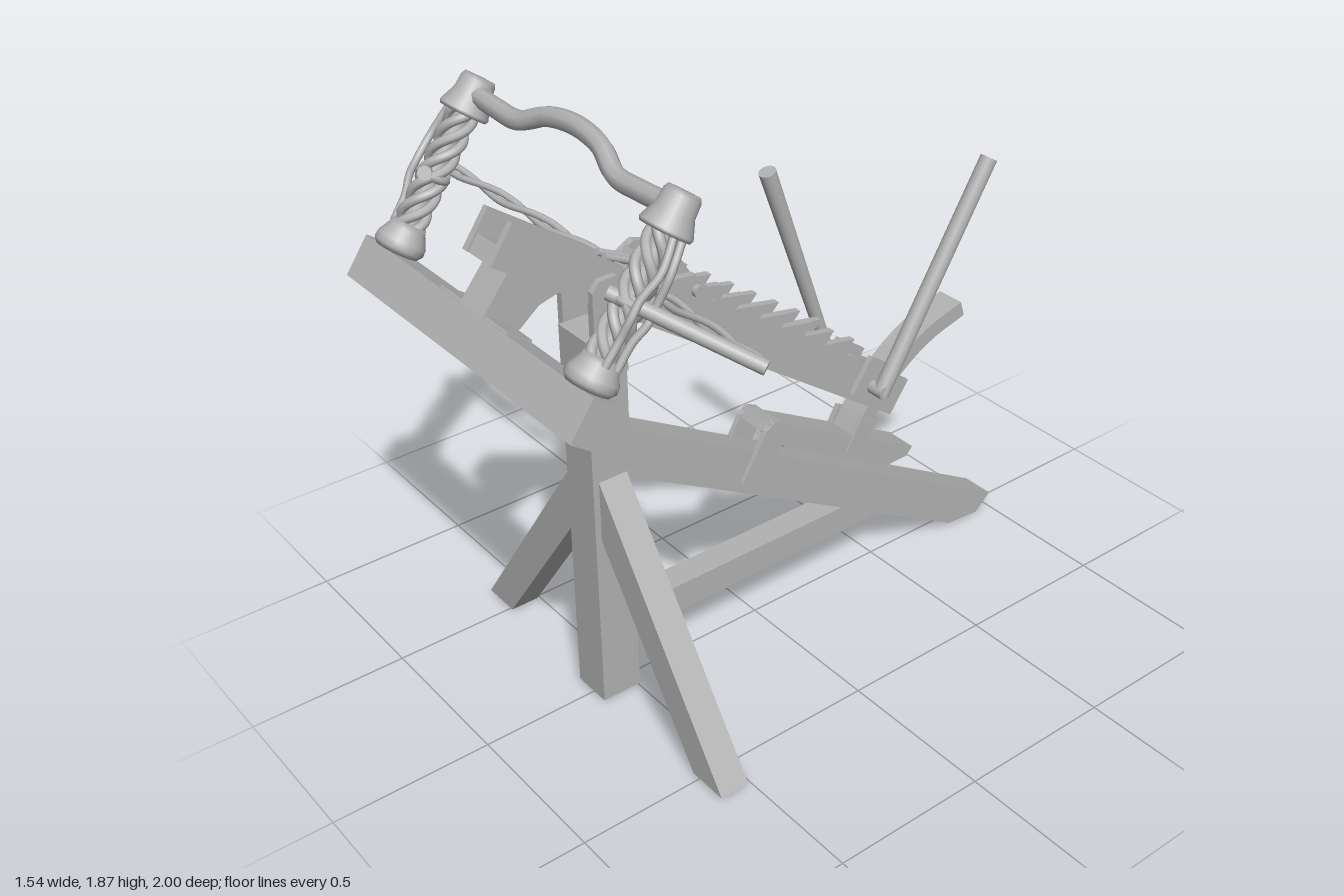
import * as THREE from 'three';

const wood = new THREE.MeshStandardMaterial({ color: 0xb2b2b2 });
wood.name = 'plain grey';

const V = (x, y, z) => new THREE.Vector3(x, y, z);

function add(parent, name, geo) {
  const m = new THREE.Mesh(geo, wood);
  m.name = name;
  parent.add(m);
  return m;
}

// box given by its limits
function block(parent, name, x0, x1, y0, y1, z0, z1) {
  const m = add(parent, name, new THREE.BoxGeometry(x1 - x0, y1 - y0, z1 - z0));
  m.position.set((x0 + x1) / 2, (y0 + y1) / 2, (z0 + z1) / 2);
  return m;
}

// side profile of [z, y] points, extruded from x0 to x1
function profile(parent, name, pts, x0, x1) {
  const shape = new THREE.Shape(pts.map(p => new THREE.Vector2(p[0], p[1])));
  const g = new THREE.ExtrudeGeometry(shape, { depth: x1 - x0, bevelEnabled: false });
  g.rotateY(-Math.PI / 2).translate(x1, 0, 0);
  return add(parent, name, g);
}

// round bar between two points
function rod(parent, name, a, b, r, r2 = r) {
  const d = b.clone().sub(a);
  const m = add(parent, name, new THREE.CylinderGeometry(r2, r, d.length(), 18));
  m.position.copy(a).add(b).multiplyScalar(0.5);
  m.quaternion.setFromUnitVectors(V(0, 1, 0), d.normalize());
  return m;
}

function tube(parent, name, pts, r, seg = 48) {
  return add(parent, name, new THREE.TubeGeometry(new THREE.CatmullRomCurve3(pts), seg, r, 8));
}

function buildStand(root) {
  block(root, 'frontPost', -0.065, 0.065, 0.01, 1.25, 0.5, 0.63);
  profile(root, 'rearLeg', [[0.5, 0.92], [0.5, 0.76], [-0.81, 0.01], [-0.94, 0], [-1, 0.055]], -0.055, 0.055);
  profile(root, 'brace', [[0.5, 0.285], [0.5, 0.19], [-0.5, 0.19], [-0.34, 0.285]], -0.045, 0.045);
  for (const s of [-1, 1]) {
    // splayed side leg
    const pts = [[0.03, 0.8], [0.03, 0.64], [0.48, 0.01], [0.61, 0.01], [0.065, 0.79]];
    const leg = new THREE.Shape(pts.map(p => new THREE.Vector2(p[0] * s, p[1])));
    add(root, 'sideLeg', new THREE.ExtrudeGeometry(leg, { depth: 0.095, bevelEnabled: false })).position.z = 0.515;
    // fork cheek that holds the stock
    profile(root, 'forkCheek', [[0.51, 1.13], [0.615, 1.13], [0.615, 1.4], [0.59, 1.43], [0.535, 1.43], [0.51, 1.4]],
      s * 0.075 - 0.012, s * 0.075 + 0.012);
    // strap around the rear leg
    profile(root, 'legStrap', [[0.1, 0.57], [0.02, 0.52], [-0.075, 0.69], [-0.06, 0.72], [-0.02, 0.74], [0.01, 0.72]],
      s * 0.061 - 0.009, s * 0.061 + 0.009);
    profile(root, 'leverTab', [[-0.32, 0.5], [-0.38, 0.46], [-0.445, 0.57], [-0.38, 0.605]],
      s * 0.054 - 0.009, s * 0.054 + 0.009);
  }
  profile(root, 'strapTop', [[-0.01, 0.74], [0.01, 0.71], [-0.05, 0.67], [-0.075, 0.69], [-0.06, 0.72]], -0.065, 0.065);
  profile(root, 'slidingBoard', [[-0.02, 0.735], [-0.615, 0.405], [-0.59, 0.378], [-0.5, 0.375], [-0.07, 0.625]], -0.055, 0.055);

  // curved prop, swept from a centre line
  const line = new THREE.CatmullRomCurve3([V(-0.36, 0.5, 0), V(-0.43, 0.6, 0), V(-0.54, 0.72, 0), V(-0.67, 0.8, 0), V(-0.815, 0.845, 0)]);
  const up = [], low = [];
  for (let i = 0; i <= 14; i++) {
    const p = line.getPoint(i / 14), t = line.getTangent(i / 14);
    up.push([p.x + t.y * 0.027, p.y - t.x * 0.027]);
    low.unshift([p.x - t.y * 0.027, p.y + t.x * 0.027]);
  }
  profile(root, 'curvedProp', up.concat(low), -0.048, 0.048);
}

function buildStock(g) {
  // channel-shaped stock
  block(g, 'stockBase', -0.055, 0.055, 0, 0.055, 0, 1.7);
  for (const s of [-1, 1]) {
    block(g, 'stockWall', s * 0.058 - 0.01, s * 0.058 + 0.01, 0, 0.125, 0, 1.708);
    // toothed rack
    const n = 8, step = 0.103, pts = [[1.17, 0.055], [1.17, 0.13]];
    for (let i = 0; i < n; i++) {
      const z = 1.17 - i * step;
      pts.push([z - step + 0.005, 0.182], [z - step + 0.012, 0.132]);
    }
    pts.push([0.345, 0.06]);
    profile(g, 'toothedRack', pts, s * 0.078 - 0.012, s * 0.078 + 0.012);
    // slider cheek
    profile(g, 'sliderCheek', [[1.25, 0.13], [1.22, 0.19], [1.16, 0.21], [1.12, 0.2], [1.03, 0.16], [1.03, 0.125]],
      s * 0.05 - 0.012, s * 0.05 + 0.012);
    // pawl lying on the rack
    profile(g, 'pawl', [[1.08, 0.165], [1.08, 0.125], [0.95, 0.14], [0.95, 0.16]], s * 0.078 - 0.014, s * 0.078 + 0.014);
    rod(g, 'clawFinger', V(s * 0.018, 0.15, 1.2), V(s * 0.018, 0.125, 1.34), 0.011);
    block(g, 'windlassPlate', s * 0.076 - 0.009, s * 0.076 + 0.009, 0.02, 0.15, 0.1, 0.23);
  }
  block(g, 'slider', -0.042, 0.042, 0.055, 0.09, 0.3, 1.3);
  block(g, 'sliderBlock', -0.04, 0.04, 0.09, 0.17, 1.05, 1.24);
  rod(g, 'sliderAxle', V(-0.075, 0.161, 1.173), V(0.075, 0.161, 1.173), 0.02);
  rod(g, 'pawlAxle', V(-0.108, 0.143, 1.049), V(0.108, 0.143, 1.049), 0.018);
  rod(g, 'trigger', V(0, 0.17, 1.11), V(0, 0.337, 1.146), 0.012);
  tube(g, 'windlassRope', [V(0, 0.1, 0.18), V(0, 0.105, 0.6), V(0, 0.11, 1.06)], 0.01);

  // windlass drum and axle
  rod(g, 'windlassDrum', V(-0.05, 0.075, 0.166), V(0.05, 0.075, 0.166), 0.045);
  rod(g, 'windlassAxle', V(-0.145, 0.067, 0.166), V(0.145, 0.067, 0.166), 0.022);
}

function buildBow(g) {
  block(g, 'bowBeam', -0.55, 0.55, -0.255, -0.13, 1.553, 1.65);
  block(g, 'beamPlate', -0.16, 0.16, -0.135, -0.122, 1.56, 1.645);
  profile(g, 'beamSupport', [[1.65, -0.13], [1.64, 0.01], [1.45, 0.01], [1.5, -0.05], [1.545, -0.2]], -0.055, 0.055);
  // arched top bar
  tube(g, 'topBar', [V(-0.47, 0.352, 1.605), V(-0.33, 0.345, 1.605), V(-0.22, 0.347, 1.605), V(-0.12, 0.392, 1.605), V(0, 0.408, 1.605),
    V(0.12, 0.392, 1.605), V(0.22, 0.347, 1.605), V(0.33, 0.345, 1.605), V(0.47, 0.352, 1.605)], 0.028, 64);

  const cup = (pts) => new THREE.LatheGeometry(pts.map(p => new THREE.Vector2(p[0], p[1])), 24);
  for (const s of [-1, 1]) {
    const t = new THREE.Group();
    t.name = 'torsionTower';
    t.position.set(s * 0.46, 0, 1.6);
    g.add(t);
    add(t, 'lowerCollar', cup([[0, -0.13], [0.06, -0.13], [0.072, -0.115], [0.07, -0.095], [0.052, -0.06], [0.048, -0.045], [0, -0.045]]));
    add(t, 'upperCollar', cup([[0, 0.288], [0.068, 0.288], [0.072, 0.298], [0.053, 0.345], [0.05, 0.385], [0.044, 0.397], [0, 0.397]]));
    rod(t, 'ropeCore', V(0, -0.06, 0), V(0, 0.3, 0), 0.026);
    // twisted rope strands
    for (let k = 0; k < 4; k++) {
      const pts = [];
      for (let i = 0; i <= 24; i++) {
        const a = s * i / 24 * Math.PI * 3 + k * Math.PI / 2;
        pts.push(V(Math.cos(a) * 0.034, -0.055 + i * 0.0147, Math.sin(a) * 0.034));
      }
      tube(t, 'ropeStrand', pts, 0.014, 72);
    }
    // loose strands bulging around the arm
    for (const q of [-1, 1]) {
      tube(t, 'outerStrand', [V(s * 0.045, -0.06, q * 0.02), V(s * 0.05, 0.02, q * 0.02), V(s * 0.06, 0.07, q * 0.028),
        V(s * 0.06, 0.12, q * 0.028), V(s * 0.07, 0.2, q * 0.015), V(s * 0.05, 0.3, q * 0.015)], 0.011);
    }
    const knot = add(t, 'armBinding', new THREE.TorusGeometry(0.036, 0.014, 8, 20));
    knot.rotation.x = Math.PI / 2;
    knot.position.y = 0.1;
    rod(g, 'bowArm', V(s * 0.43, 0.1, 1.65), V(s * 0.755, 0.112, 1.385), 0.02, 0.02);
  }
  // two-strand bowstring
  for (const ph of [0, Math.PI]) {
    const pts = [];
    for (let i = 0; i <= 60; i++) {
      const u = i / 30 - 1, a = u * 12 + ph, w = 0.011;
      pts.push(V(u * 0.75, 0.112 + Math.sin(a) * w, 1.288 + 0.095 * Math.pow(Math.abs(u), 1.6) + Math.cos(a) * w));
    }
    tube(g, 'bowString', pts, 0.01, 120);
  }
}

export function createModel() {
  const root = new THREE.Group();
  root.name = 'boltThrower';
  buildStand(root);

  // everything above the stand shares the tilt of the stock
  const tilted = new THREE.Group();
  tilted.name = 'tiltedStock';
  tilted.position.set(0, 0.58, -0.497);
  tilted.rotation.x = -0.614;
  root.add(tilted);
  buildStock(tilted);
  buildBow(tilted);

  // windlass hand levers
  rod(root, 'rightLever', V(-0.122, 0.72, -0.41), V(-0.122, 1.457, -0.145), 0.02, 0.027);
  rod(root, 'leftLever', V(0.122, 0.72, -0.4), V(0.122, 1.4, -0.81), 0.027);
  return root;
}
